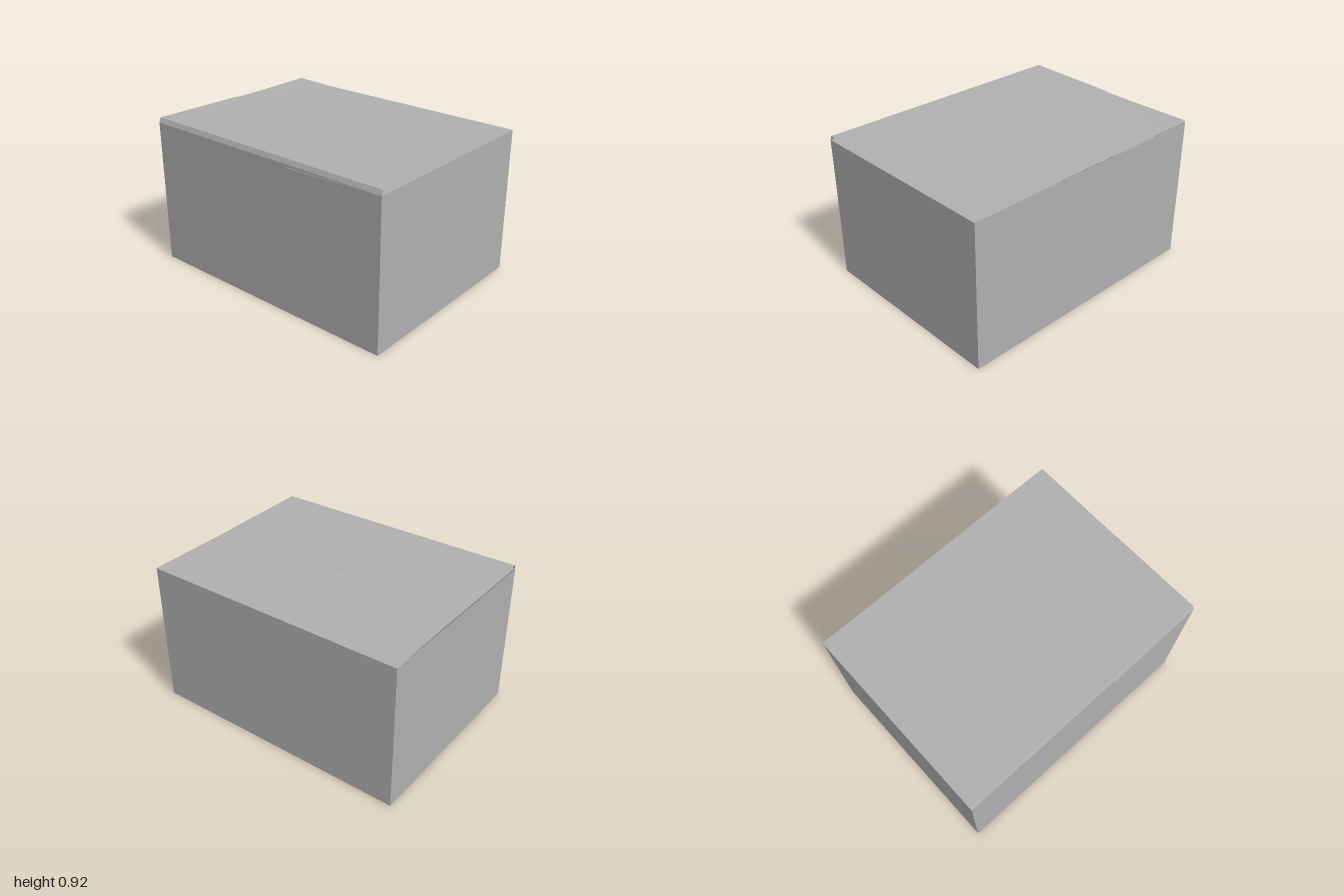
import * as THREE from 'three';

export function createModel() {
  const group = new THREE.Group();
  const cardboard = new THREE.MeshStandardMaterial({ color: 0xb0b0b0, side: THREE.DoubleSide });
  cardboard.name = 'cardboard grey';

  const L = 0.82, W = 0.612, H = 0.888, inner = 0.21;

  // Thin sheet with four corners, anticlockwise seen from outside
  function panel(name, a, b, c, d) {
    const g = new THREE.BufferGeometry();
    g.setAttribute('position', new THREE.Float32BufferAttribute([...a, ...b, ...c, ...a, ...c, ...d], 3));
    g.computeVertexNormals();
    const mesh = new THREE.Mesh(g, cardboard);
    mesh.name = name;
    group.add(mesh);
  }

  // Floor and four walls
  panel('floor', [-L, 0, -W], [L, 0, -W], [L, 0, W], [-L, 0, W]);
  const corners = [[-L, W], [L, W], [L, -W], [-L, -W]];
  ['frontWall', 'leftWall', 'backWall', 'rightWall'].forEach((name, i) => {
    const [x0, z0] = corners[i], [x1, z1] = corners[(i + 1) % 4];
    panel(name, [x0, 0, z0], [x1, 0, z1], [x1, H, z1], [x0, H, z0]);
  });

  // Short end flaps, sagging at their free edges
  panel('rightInnerFlap', [-L, 0.895, W], [-inner, 0.88, W], [-inner, 0.88, -W], [-L, 0.898, -W]);
  panel('leftInnerFlap', [L, H, -W], [inner, 0.876, -W], [inner, 0.872, W + 0.005], [L, H, W]);

  // Long flaps meeting along the middle; the front one springs up at its fold
  panel('backFlap', [-L, 0.9, 0], [L, 0.897, 0], [L, 0.89, -W], [-L, 0.89, -W]);
  panel('frontFlap', [-L, 0.916, 0.6], [L, 0.916, 0.6], [L, 0.9, -0.004], [-L, 0.904, -0.004]);
  panel('frontFold', [-L, H, W], [L, H, W], [L, 0.916, 0.6], [-L, 0.916, 0.6]);

  // The box stands turned on the ground
  group.rotation.y = -0.4;
  return group;
}
